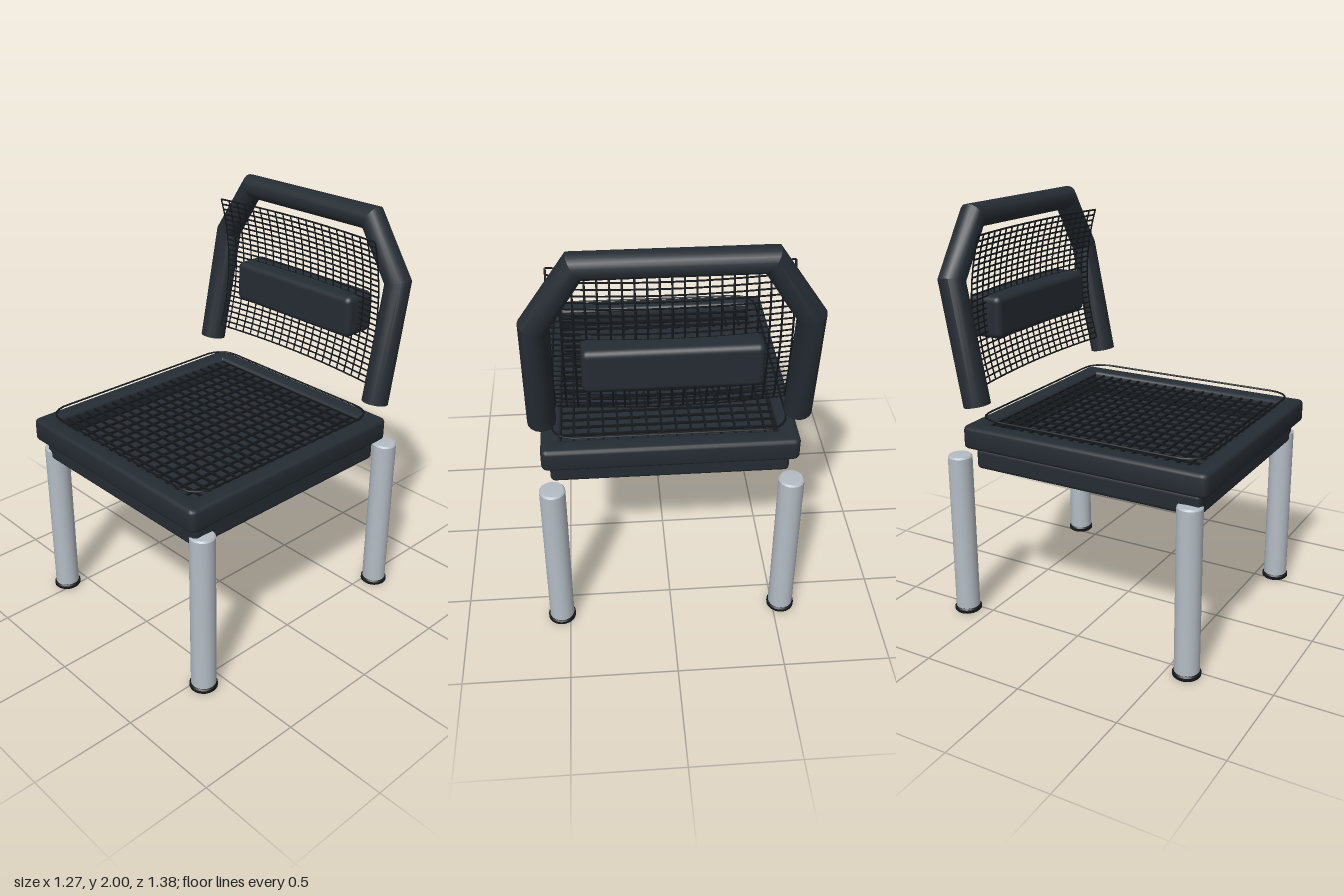
import * as THREE from 'three';
import { mergeGeometries, toCreasedNormals } from 'three/addons/utils/BufferGeometryUtils.js';
import { RoundedBoxGeometry } from 'three/addons/geometries/RoundedBoxGeometry.js';

const material = (color) => new THREE.MeshStandardMaterial({ color });
const V = (x, y, z) => new THREE.Vector3(x, y, z);

// Straight-sided path whose cross-sections sit on the bisector of each bend
class Polyline extends THREE.Curve {
  constructor(points) {
    super();
    this.points = points;
  }
  getPoint(t) {
    const n = this.points.length - 1;
    const i = Math.min(Math.floor(t * n + 1e-6), n - 1);
    return this.points[i].clone().lerp(this.points[i + 1], t * n - i);
  }
  getPointAt(t) {
    return this.getPoint(t);
  }
  getTangentAt(t) {
    const p = this.points, n = p.length - 1, i = Math.round(t * n);
    const tangent = V(0, 0, 0);
    if (i > 0) tangent.add(p[i].clone().sub(p[i - 1]).normalize());
    if (i < n) tangent.add(p[i + 1].clone().sub(p[i]).normalize());
    return tangent.normalize();
  }
}

// Rectangle with rounded corners, drawn on a Shape or Path
function roundedRect(path, w, h, r) {
  const x = w / 2, y = h / 2;
  path.absarc(x - r, y - r, r, 0, Math.PI / 2);
  path.absarc(-x + r, y - r, r, Math.PI / 2, Math.PI);
  path.absarc(-x + r, -y + r, r, Math.PI, Math.PI * 1.5);
  path.absarc(x - r, -y + r, r, Math.PI * 1.5, Math.PI * 2);
  path.closePath();
  return path;
}

export function createModel() {
  const chair = new THREE.Group();
  chair.name = 'chair';
  const dark = material(0x252c33), black = material(0x14181b), metal = material(0xb4bcc4);

  const add = (name, geometry, mat, x = 0, y = 0, z = 0) => {
    const mesh = new THREE.Mesh(geometry, mat);
    mesh.name = name;
    mesh.position.set(x, y, z);
    chair.add(mesh);
    return mesh;
  };

  // Legs with softened tops, and their foot pads
  const legProfile = [[0, 0.02], [0.059, 0.02], [0.059, 0.822], [0.052, 0.83], [0, 0.833]];
  const footProfile = [[0, 0], [0.06, 0], [0.066, 0.006], [0.066, 0.02], [0.06, 0.027], [0, 0.027]];
  const lathe = (profile) => toCreasedNormals(
    new THREE.LatheGeometry(profile.map(([x, y]) => new THREE.Vector2(x, y)), 24), 0.6);
  const legGeometry = lathe(legProfile), footGeometry = lathe(footProfile);
  for (const x of [-0.54, 0.54]) {
    for (const z of [0.6, -0.622]) {
      const place = (z > 0 ? 'front' : 'back') + (x > 0 ? 'Left' : 'Right');
      add(place + 'Leg', legGeometry, metal, x, 0, z);
      add(place + 'Foot', footGeometry, black, x, 0, z);
    }
  }

  // Solid seat base
  add('seatBase', new RoundedBoxGeometry(1.1, 0.105, 1.17, 3, 0.022), dark, 0, 0.833, 0.065);

  // Bevelled seat frame around the open middle
  const bevel = 0.018;
  const rim = roundedRect(new THREE.Shape(), 1.17 - 2 * bevel, 1.265 - 2 * bevel, 0.015);
  rim.holes.push(roundedRect(new THREE.Path(), 0.985 + 2 * bevel, 1.08 + 2 * bevel, 0.02));
  const frameGeometry = new THREE.ExtrudeGeometry(rim, {
    depth: 0.11 - 2 * bevel, bevelSize: bevel, bevelThickness: bevel, bevelSegments: 3, curveSegments: 2,
  });
  frameGeometry.translate(0, 0, bevel).rotateX(-Math.PI / 2);
  add('seatFrame', toCreasedNormals(frameGeometry, 0.6), dark, 0, 0.886, 0.0625);

  // Seat netting
  const seatStrands = [];
  for (let i = 0; i <= 15; i++) {
    seatStrands.push(new THREE.BoxGeometry(0.01, 0.01, 1.09).translate(-0.502 + i * 1.004 / 15, 0, 0));
  }
  for (let i = 0; i <= 20; i++) {
    seatStrands.push(new THREE.BoxGeometry(1.01, 0.01, 0.01).translate(0, 0, -0.545 + i * 1.09 / 20));
  }
  add('seatNetting', mergeGeometries(seatStrands), black, 0, 0.978, 0.063);

  // Thin piping loop above the seat
  const loop = roundedRect(new THREE.Path(), 1.07, 1.15, 0.1).getSpacedPoints(80).slice(0, -1);
  const pipingCurve = new THREE.CatmullRomCurve3(loop.map((p) => V(p.x, 0, p.y)), true);
  add('seatPiping', new THREE.TubeGeometry(pipingCurve, 120, 0.005, 6, true), black, 0, 1.03, 0.062);

  // Back frame: one bent tube with closed ends
  const half = [[0.57, 1.11, -0.48], [0.565, 1.68, -0.592], [0.39, 1.948, -0.593]];
  const path = [
    ...half.map(([x, y, z]) => V(-x, y, z)),
    ...half.slice().reverse().map(([x, y, z]) => V(x, y, z)),
  ];
  const backCurve = new Polyline(path);
  const tube = new THREE.TubeGeometry(backCurve, path.length - 1, 0.064, 16);
  add('backFrame', toCreasedNormals(tube, 0.5), dark);
  for (const t of [0, 1]) {
    const outward = backCurve.getTangentAt(t).multiplyScalar(t ? 1 : -1);
    const cap = add(t ? 'backFrameLeftEnd' : 'backFrameRightEnd', new THREE.CircleGeometry(0.064, 16), dark);
    cap.position.copy(path[t ? path.length - 1 : 0]);
    cap.quaternion.setFromUnitVectors(V(0, 0, 1), outward);
  }

  // Back netting, hollowed across its width and curled forward at top and bottom
  const netPoint = (x, y) => V(x, y,
    -0.535 + 0.055 * ((y - 1.535) / 0.345) ** 2 - 0.035 * (1 - (x / 0.505) ** 2));
  const strand = (pointAt) => {
    const points = Array.from({ length: 9 }, (_, i) => pointAt(i / 8));
    return new THREE.TubeGeometry(new THREE.CatmullRomCurve3(points), 10, 0.0045, 4);
  };
  const backStrands = [];
  for (let i = 0; i <= 20; i++) {
    const x = -0.505 + i * 1.01 / 20;
    backStrands.push(strand((t) => netPoint(x, 1.19 + 0.69 * t)));
  }
  for (let i = 0; i <= 25; i++) {
    const y = 1.19 + i * 0.69 / 25;
    backStrands.push(strand((t) => netPoint(-0.505 + 1.01 * t, y)));
  }
  add('backNetting', mergeGeometries(backStrands), black);

  // Lumbar pad
  add('lumbarPad', new RoundedBoxGeometry(0.76, 0.205, 0.18, 4, 0.03), dark, 0, 1.476, -0.565);

  return chair;
}
